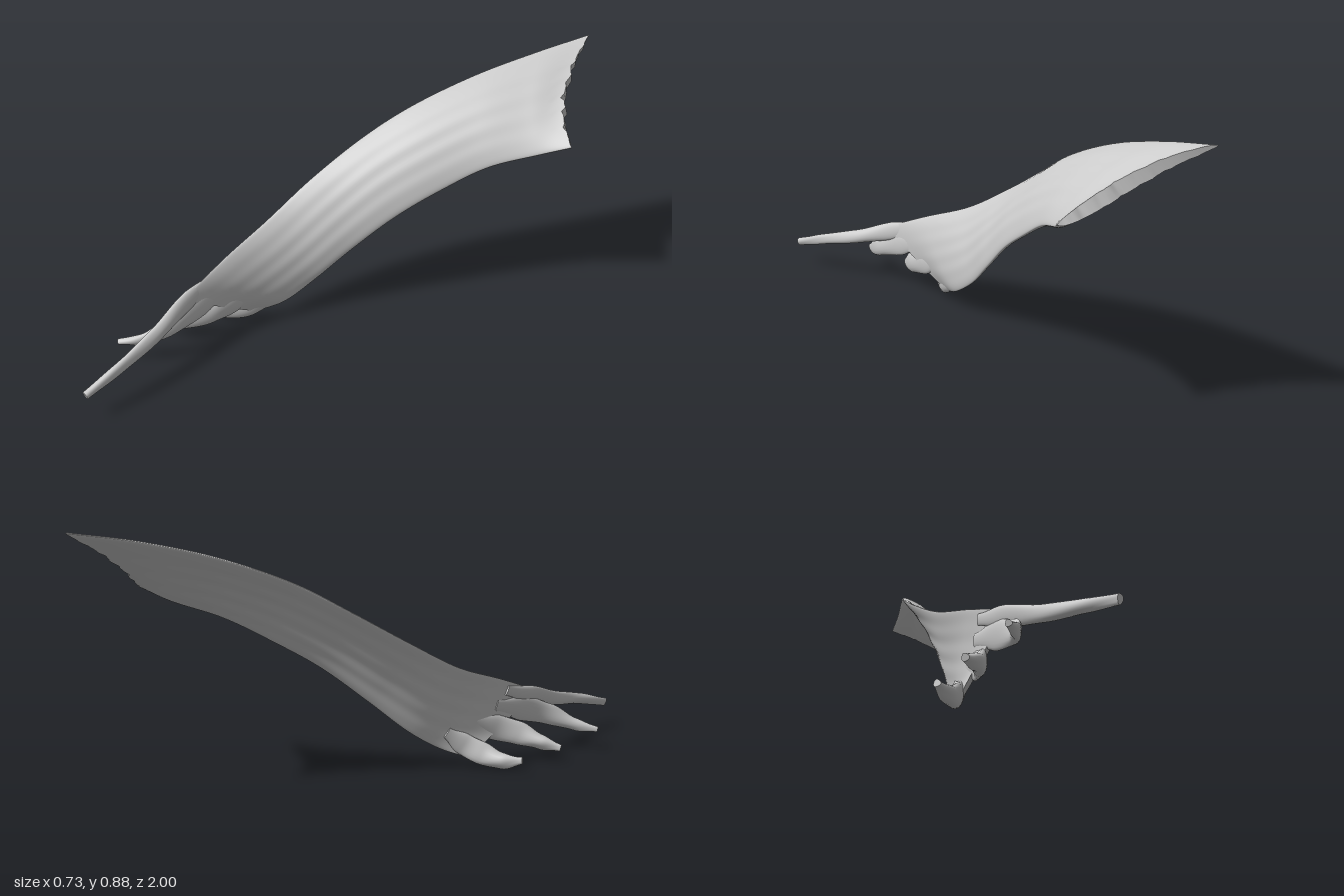
import * as THREE from 'three';

const material = new THREE.MeshStandardMaterial({ color: 0xcccccc, side: THREE.DoubleSide });
const V = (p) => new THREE.Vector3(...p);
const spline = (pts) => new THREE.CatmullRomCurve3(pts.map(V));

// Reads a list of numbers as a ramp over t = 0..1
function ramp(list, t) {
  const f = Math.min(t, 0.9999) * (list.length - 1), i = Math.floor(f);
  return THREE.MathUtils.lerp(list[i], list[i + 1], THREE.MathUtils.smoothstep(f - i, 0, 1));
}

// Closed skin over rows x cols rings, with separate flat end caps
function loft(name, rows, cols, pointAt) {
  const pos = [], index = [], rings = [];
  for (let i = 0; i <= rows; i++) {
    const ring = [];
    for (let j = 0; j < cols; j++) ring.push(pointAt(i / rows, (j / cols) * Math.PI * 2));
    rings.push(ring);
    ring.forEach((p) => pos.push(p.x, p.y, p.z));
  }
  for (let i = 0; i < rows; i++) {
    for (let j = 0; j < cols; j++) {
      const k = (j + 1) % cols, a = i * cols + j, b = i * cols + k;
      index.push(a, b, a + cols, b, b + cols, a + cols);
    }
  }
  // Caps join opposite points of the ring, so curved ends stay thin
  [0, rows].forEach((r) => {
    const base = pos.length / 3;
    rings[r].forEach((p) => pos.push(p.x, p.y, p.z));
    for (let j = 0; j < cols / 2; j++) {
      const a = base + j, b = base + j + 1;
      const c = base + ((cols - j) % cols), d = base + cols - j - 1;
      if (r) index.push(a, b, d, a, d, c);
      else index.push(a, d, b, a, c, d);
    }
  });
  const geometry = new THREE.BufferGeometry();
  geometry.setAttribute('position', new THREE.Float32BufferAttribute(pos, 3));
  geometry.setIndex(index);
  geometry.computeVertexNormals();
  const mesh = new THREE.Mesh(geometry, material);
  mesh.name = name;
  return mesh;
}

// Broad curved sheet between an upper and a lower edge
function createSheet() {
  const upper = spline([
    [0.105, 0.878, -1], [0.04, 0.843, -0.8], [-0.045, 0.785, -0.58], [-0.135, 0.695, -0.36], [-0.2, 0.6, -0.2],
    [-0.245, 0.48, 0], [-0.255, 0.375, 0.19], [-0.24, 0.305, 0.38], [-0.214, 0.23, 0.57],
  ]);
  const lower = spline([
    [0.365, 0.645, -0.66], [0.28, 0.603, -0.59], [0.17, 0.55, -0.46], [0.085, 0.47, -0.33], [0.005, 0.375, -0.19],
    [-0.075, 0.25, -0.05], [-0.135, 0.14, 0.07], [-0.175, 0.068, 0.18], [-0.225, 0.035, 0.265],
  ]);
  const bulge = [0.01, 0.016, 0.022, 0.024, 0.024, 0.018, 0.01, 0.004, 0];
  const front = [0.018, 0.022, 0.022, 0.022, 0.021, 0.02, 0.019, 0.017, 0.008];
  const back = [0.032, 0.04, 0.04, 0.036, 0.034, 0.03, 0.024, 0.018, 0.008];
  return loft('muscleSheet', 72, 96, (t, angle) => {
    const A = upper.getPoint(t), B = lower.getPoint(t);
    const v = 0.5 + 0.5 * Math.cos(angle);
    const along = upper.getTangent(t).lerp(lower.getTangent(t), v).normalize();
    const out = along.clone().cross(B.clone().sub(A)).normalize();
    const arch = 4 * v * (1 - v);
    // Faint fibre grooves running lengthwise
    const groove = 0.0014 * Math.sin(v * 30 + 5 * t) * Math.sin(Math.PI * t) * arch;
    // The back is fuller, most of all along the lower margin
    const depth = Math.sin(angle) > 0 ? ramp(front, t) : ramp(back, t) * (0.5 + 0.6 * v);
    const p = A.lerp(B, v);
    p.addScaledVector(out, ramp(bulge, t) * arch + depth * Math.sin(angle) + groove);
    // Torn end, hollowed between its corners and ragged
    const hollow = 0.055 * arch * Math.max(0, 1 - t * 3) ** 2;
    const ragged = 0.006 * arch * Math.max(0, 1 - t * 18);
    const wave = Math.sin(v * 47) + 0.7 * Math.sin(v * 91 + 1) + 0.6 * Math.sin(v * 23 + 2);
    return p.addScaledVector(along, hollow + ragged * wave);
  });
}

// Flattened slip that grows out of the sheet, follows a path and tapers to a blunt tip
function createSlip(name, points, widths, thicknesses) {
  const path = spline(points);
  const wide = new THREE.Vector3(0.1, -0.85, -0.5);
  return loft(name, 32, 20, (t, angle) => {
    const along = path.getTangent(t);
    const across = wide.clone().addScaledVector(along, -wide.dot(along)).normalize();
    const out = along.clone().cross(across);
    const ripple = 1 + 0.1 * Math.sin(angle * 3 + t * 9) * t;
    return path.getPoint(t)
      .addScaledVector(across, ramp(widths, t) * Math.cos(angle) * ripple)
      .addScaledVector(out, ramp(thicknesses, t) * Math.sin(angle) * ripple);
  });
}

export function createModel() {
  const group = new THREE.Group();
  group.name = 'fanMuscle';
  group.add(createSheet());

  const flat = [0.005, 0.013, 0.017, 0.015, 0.01];
  const plump = [0.005, 0.013, 0.02, 0.026, 0.012];
  // Four slips, from the long upper one to the short lower one
  const slips = [
    ['firstSlip', [[-0.234, 0.255, 0.42], [-0.218, 0.215, 0.55], [-0.178, 0.168, 0.7], [-0.145, 0.132, 0.86], [-0.13, 0.095, 0.995]],
      [0.018, 0.034, 0.026, 0.02, 0.015], flat],
    ['secondSlip', [[-0.225, 0.205, 0.38], [-0.219, 0.172, 0.51], [-0.228, 0.132, 0.62], [-0.275, 0.092, 0.71], [-0.33, 0.077, 0.768]],
      [0.02, 0.046, 0.038, 0.022, 0.01], flat],
    ['thirdSlip', [[-0.21, 0.165, 0.28], [-0.219, 0.125, 0.38], [-0.248, 0.095, 0.46], [-0.3, 0.066, 0.525], [-0.355, 0.05, 0.57]],
      [0.02, 0.046, 0.042, 0.026, 0.012], plump],
    ['fourthSlip', [[-0.195, 0.13, 0.19], [-0.21, 0.085, 0.25], [-0.245, 0.05, 0.3], [-0.3, 0.03, 0.35], [-0.355, 0.037, 0.395]],
      [0.02, 0.038, 0.04, 0.028, 0.012], plump],
  ];
  slips.forEach((slip) => group.add(createSlip(...slip)));
  return group;
}
